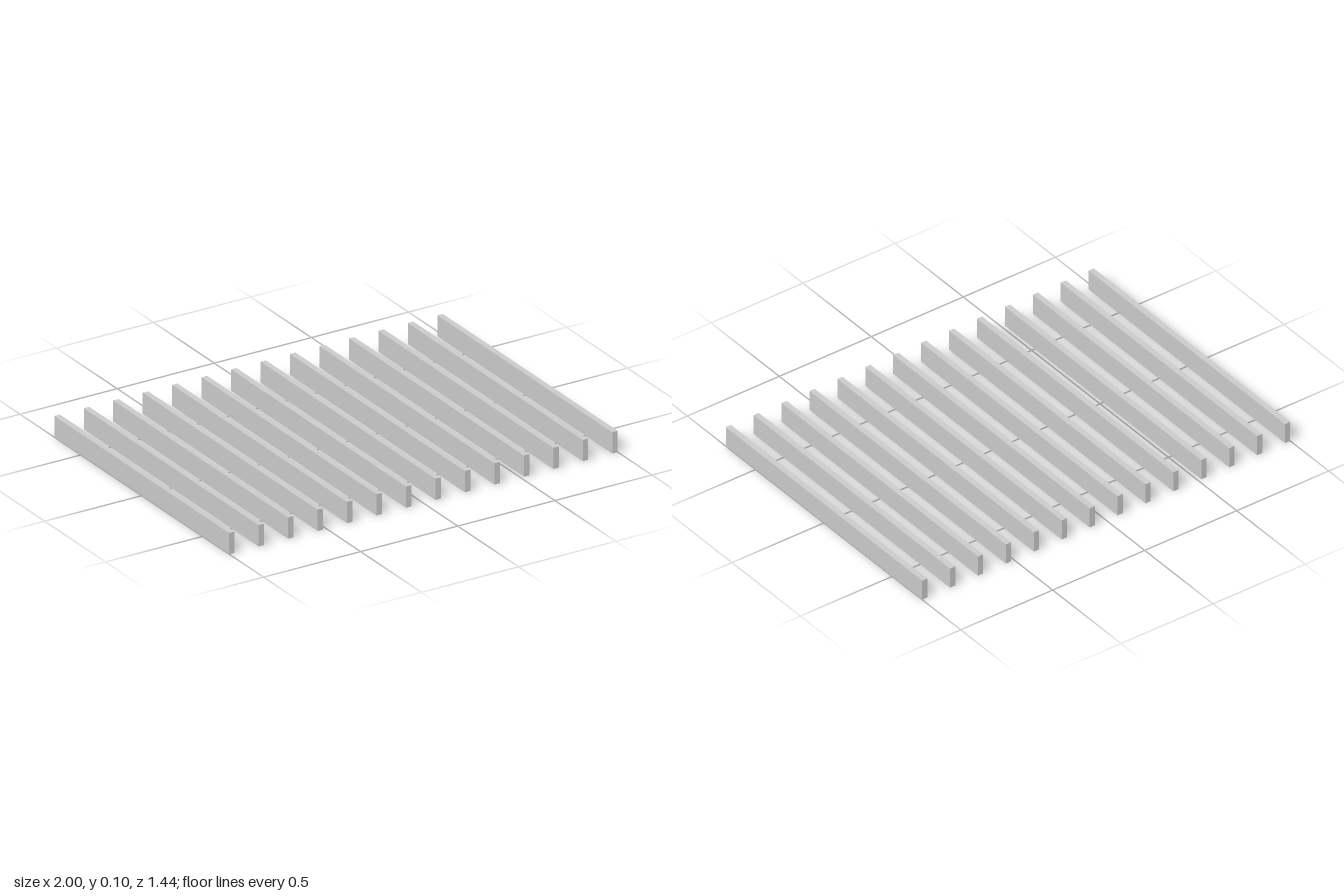
import * as THREE from 'three';

const COUNT = 14;
const WIDTH = 0.028, HEIGHT = 0.102, LENGTH = 1.437;

export function createModel() {
  const model = new THREE.Group();
  model.name = 'slatRow';
  const material = new THREE.MeshStandardMaterial({ color: 0xcccccc });
  const geometry = new THREE.BoxGeometry(WIDTH, HEIGHT, LENGTH);

  // Evenly spaced parallel slats standing on edge, outer faces at x = -1 and x = 1
  const spacing = (2 - WIDTH) / (COUNT - 1);
  for (let i = 0; i < COUNT; i++) {
    const slat = new THREE.Mesh(geometry, material);
    slat.name = `slat${i + 1}`;
    slat.position.set((i - (COUNT - 1) / 2) * spacing, HEIGHT / 2, 0);
    model.add(slat);
  }
  return model;
}
